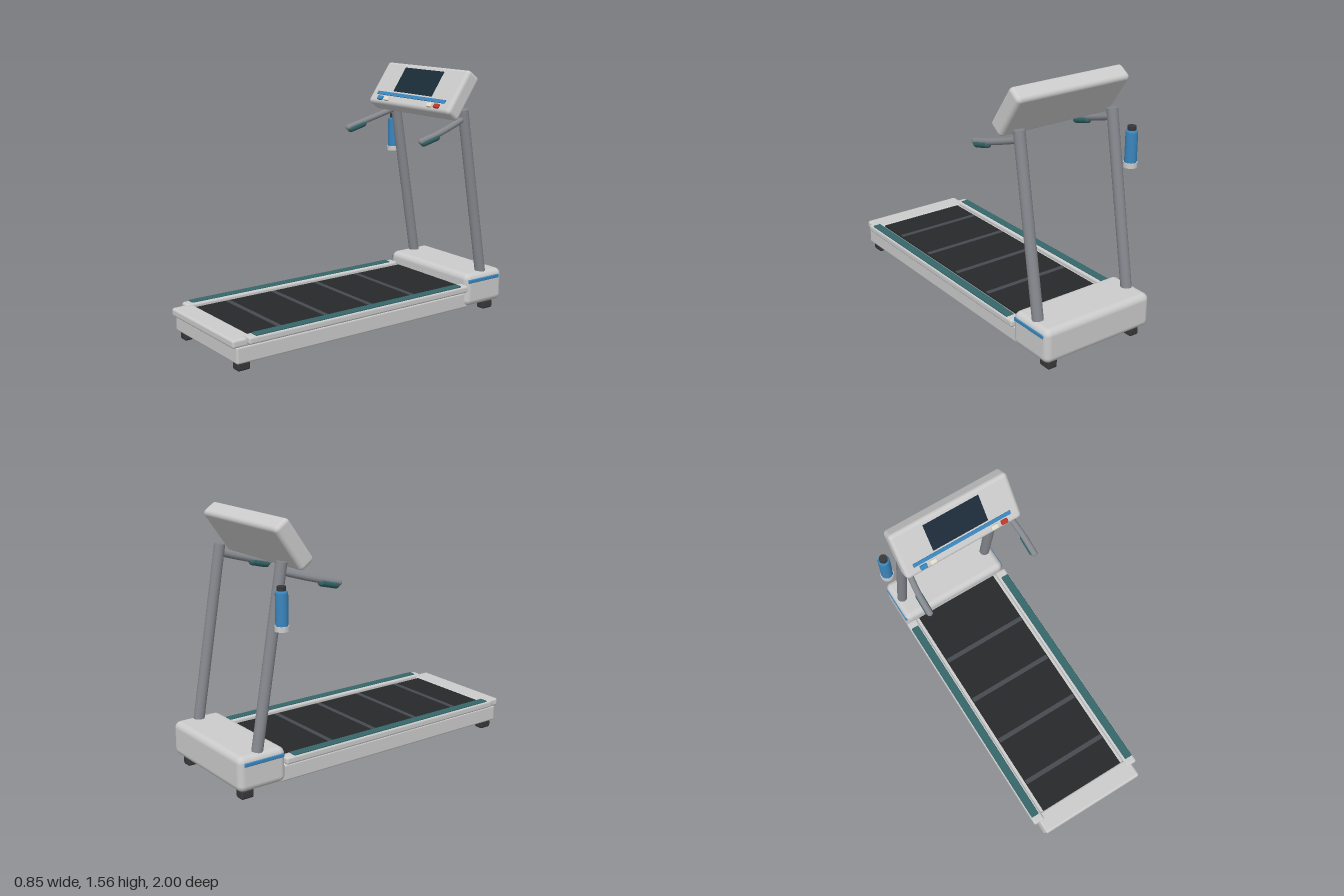
import * as THREE from 'three';
import { RoundedBoxGeometry } from 'three/addons/geometries/RoundedBoxGeometry.js';

const CX = 0.033; // centre line of the machine; the bottle hangs off its right side

export function createModel() {
  const root = new THREE.Group();
  const mat = (color) => new THREE.MeshStandardMaterial({ color });
  const grey = mat(0xcccccc), steel = mat(0x85888e), blue = mat(0x3a86be), teal = mat(0x35666a);
  const black = mat(0x26282b), slatGrey = mat(0x464a50), rubber = mat(0x38383a);
  const glass = mat(0x1b2c38), cream = mat(0xe6e0d0), red = mat(0xc0392b);

  const add = (parent, name, geometry, material, x, y, z) => {
    const m = new THREE.Mesh(geometry, material);
    m.name = name;
    m.position.set(x, y, z);
    parent.add(m);
    return m;
  };
  // box given by its centre and size; r > 0 rounds the edges
  const box = (parent, name, material, [x, y, z], [w, h, d], r = 0) =>
    add(parent, name, r ? new RoundedBoxGeometry(w, h, d, 3, r) : new THREE.BoxGeometry(w, h, d), material, x, y, z);
  const rod = (parent, name, material, a, b, r) => {
    const m = add(parent, name, new THREE.CylinderGeometry(r, r, a.distanceTo(b), 28), material, 0, 0, 0);
    m.position.addVectors(a, b).multiplyScalar(0.5);
    m.quaternion.setFromUnitVectors(new THREE.Vector3(0, 1, 0), b.clone().sub(a).normalize());
    return m;
  };
  const v = (x, y, z) => new THREE.Vector3(x, y, z);

  // Running deck
  box(root, 'deckFrame', grey, [CX, 0.1, 0.125], [0.71, 0.1, 1.7], 0.012);
  box(root, 'deckBed', grey, [CX, 0.16, 0.09], [0.63, 0.04, 1.6]);
  box(root, 'rearCap', grey, [CX, 0.17, 0.933], [0.71, 0.05, 0.134], 0.015);
  box(root, 'runningBelt', black, [CX, 0.18, 0.085], [0.59, 0.02, 1.57]);
  for (const z of [-0.32, 0.005, 0.33, 0.655])
    box(root, 'beltStripe', slatGrey, [CX, 0.19, z], [0.58, 0.004, 0.03]);

  // Motor hood
  box(root, 'motorHood', grey, [CX, 0.165, -0.845], [0.76, 0.21, 0.31], 0.04);

  // Console: local z is the normal of the tilted panel
  const panel = new THREE.Group();
  panel.name = 'console';
  panel.position.set(CX, 1.408, -0.617);
  panel.rotation.x = -THREE.MathUtils.degToRad(35);
  root.add(panel);
  box(panel, 'consoleBody', grey, [0, 0, 0], [0.775, 0.308, 0.108], 0.025);
  box(panel, 'screen', glass, [0, 0.029, 0.054], [0.365, 0.176, 0.008]);
  box(panel, 'accentStrip', blue, [0, -0.083, 0.055], [0.65, 0.022, 0.01]);
  [[-0.271, blue], [-0.206, cream], [0.206, cream], [0.271, red]].forEach(([x, m]) =>
    box(panel, 'button', m, [x, -0.119, 0.058], [0.044, 0.028, 0.02], 0.005));

  // Paired parts on either side
  for (const s of [-1, 1]) {
    const X = (d) => CX + s * d;
    box(root, 'sideRail', grey, [X(0.353), 0.183, 0.11], [0.074, 0.046, 1.61], 0.014);
    box(root, 'footStrip', teal, [X(0.357), 0.205, 0.115], [0.052, 0.016, 1.51], 0.005);
    box(root, 'hoodStripe', blue, [X(0.377), 0.225, -0.837], [0.014, 0.024, 0.26], 0.006);
    for (const z of [0.917, -0.922])
      box(root, 'foot', rubber, [X(0.303), 0.027, z], [0.064, 0.054, 0.082], 0.012);

    rod(root, 'upright', steel, v(X(0.326), 0.2, -0.862), v(X(0.326), 1.315, -0.668), 0.033);

    // Handlebar with a soft grip along its underside
    const path = new THREE.CatmullRomCurve3([
      v(X(0.328), 1.26, -0.67), v(X(0.345), 1.225, -0.56), v(X(0.358), 1.19, -0.44), v(X(0.36), 1.157, -0.31)]);
    add(root, 'handlebar', new THREE.TubeGeometry(path, 24, 0.019, 16), steel, 0, 0, 0);
    add(root, 'handlebarEnd', new THREE.SphereGeometry(0.019, 16, 12), steel, X(0.36), 1.157, -0.31);
    const grip = add(root, 'grip', new THREE.CapsuleGeometry(0.023, 0.1, 6, 20), teal, X(0.359), 1.16, -0.377);
    grip.rotation.x = Math.PI / 2 + 0.25;
  }

  // Water bottle in its cup ring
  const bottle = new THREE.Group();
  bottle.name = 'bottle';
  bottle.position.set(-0.389, 0, -0.735);
  root.add(bottle);
  const profile = [[0, 0.97], [0.034, 0.97], [0.036, 0.98], [0.036, 1.168], [0.033, 1.178], [0.024, 1.183], [0, 1.183]];
  add(bottle, 'bottleBody', new THREE.LatheGeometry(profile.map(([x, y]) => new THREE.Vector2(x, y)), 28), blue, 0, 0, 0);
  add(bottle, 'bottleCap', new THREE.CylinderGeometry(0.025, 0.025, 0.03, 24), rubber, 0, 1.192, 0);
  add(bottle, 'bottleHolder', new THREE.CylinderGeometry(0.041, 0.041, 0.03, 28), grey, 0, 0.975, 0);

  return root;
}
